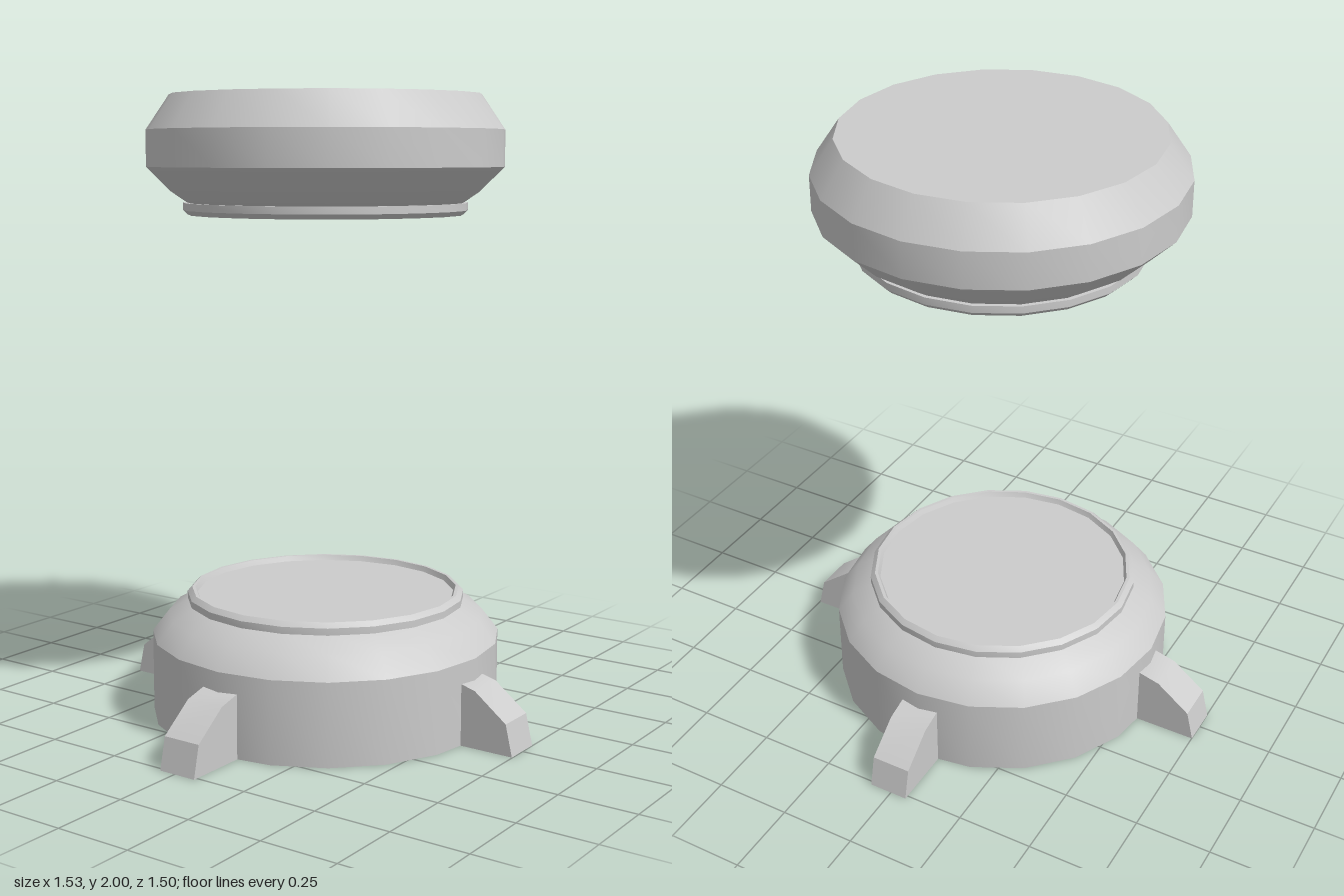
import * as THREE from 'three';
import { toCreasedNormals } from 'three/addons/utils/BufferGeometryUtils.js';

const SIDES = 20;
const CENTER_Z = 0.01;

// Turned part from [radius, height] pairs, listed bottom to top
function turned(name, profile, material) {
  const points = profile.map(([r, y]) => new THREE.Vector2(r, y));
  const geometry = toCreasedNormals(new THREE.LatheGeometry(points, SIDES), 0.55);
  const mesh = new THREE.Mesh(geometry, material);
  mesh.name = name;
  mesh.position.z = CENTER_Z;
  return mesh;
}

// Sloped foot reaching out along +x, starting inside the base wall
function footGeometry(width) {
  const shape = new THREE.Shape();
  shape.moveTo(0.5, 0);
  shape.lineTo(0.763, 0);
  shape.lineTo(0.74, 0.1);
  shape.lineTo(0.63, 0.185);
  shape.lineTo(0.555, 0.205);
  shape.lineTo(0.5, 0.205);
  shape.closePath();
  const geometry = new THREE.ExtrudeGeometry(shape, { depth: width, bevelEnabled: false });
  geometry.translate(0, 0, -width / 2);
  return toCreasedNormals(geometry, 0.45);
}

export function createModel() {
  const group = new THREE.Group();
  const material = new THREE.MeshStandardMaterial({ color: 0xcccccc });

  // Base drum with rounded shoulder, raised lip and shallow recess
  group.add(turned('base', [
    [0, 0], [0.568, 0], [0.568, 0.265], [0.515, 0.333], [0.44, 0.375],
    [0.453, 0.375], [0.453, 0.397], [0.438, 0.412], [0.428, 0.412],
    [0.42, 0.395], [0, 0.395],
  ], material));

  // Floating cap with a lip below and a chamfered top
  group.add(turned('cap', [
    [0, 1.625], [0.438, 1.625], [0.453, 1.64], [0.453, 1.663], [0.44, 1.663],
    [0.49, 1.697], [0.568, 1.775], [0.568, 1.89], [0.493, 2], [0, 2],
  ], material));

  // Four feet around the base
  const feet = new THREE.Group();
  feet.name = 'feet';
  const geometry = footGeometry(0.13);
  ['left', 'back', 'right', 'front'].forEach((side, i) => {
    const foot = new THREE.Mesh(geometry, material);
    foot.name = side + 'Foot';
    foot.rotation.y = i * Math.PI / 2;
    if (i % 2 === 0) foot.position.z = CENTER_Z;
    else foot.position.z = side === 'back' ? 0.012 : -0.015;
    feet.add(foot);
  });
  group.add(feet);

  return group;
}
